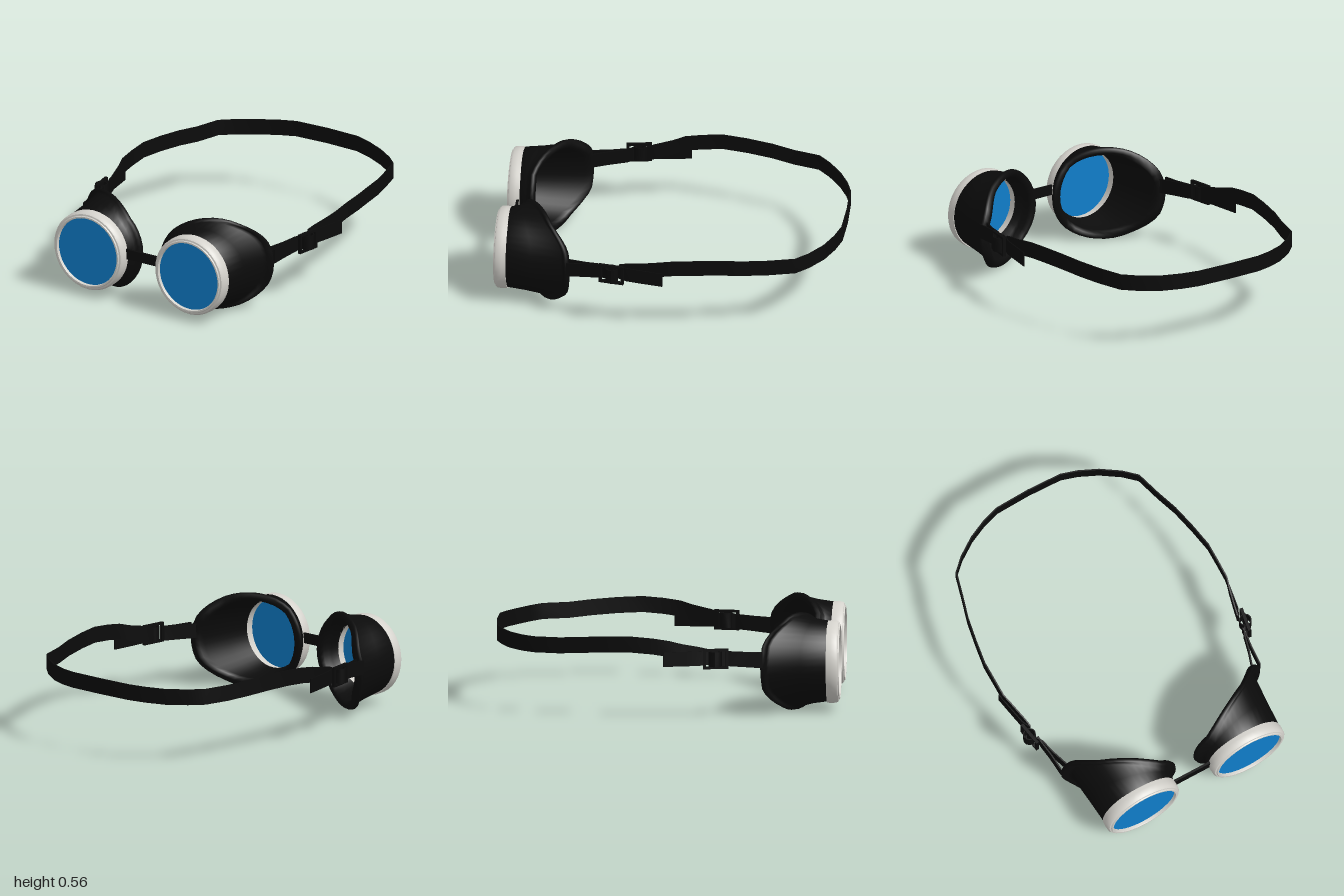
import * as THREE from 'three';
import { toCreasedNormals } from 'three/addons/utils/BufferGeometryUtils.js';

const black = new THREE.MeshStandardMaterial({ color: 0x0b0b0b, side: THREE.DoubleSide });
black.name = 'black rubber';
const silver = new THREE.MeshStandardMaterial({ color: 0xd4d2cc });
silver.name = 'silver rim';
const blue = new THREE.MeshStandardMaterial({ color: 0x0f7ecb, side: THREE.DoubleSide });
blue.name = 'blue lens';

const LENS_X = 0.348, LENS_Y = 0.277;

// Mirror a geometry across x = 0, keeping faces outward
function mirrored(geo) {
  const g = geo.index ? geo.toNonIndexed() : geo.clone();
  g.scale(-1, 1, 1);
  for (const name of ['position', 'normal']) {
    const a = g.attributes[name];
    for (let i = 0; i < a.count; i += 3) {
      const p = new THREE.Vector3().fromBufferAttribute(a, i + 1);
      const q = new THREE.Vector3().fromBufferAttribute(a, i + 2);
      a.setXYZ(i + 1, q.x, q.y, q.z);
      a.setXYZ(i + 2, p.x, p.y, p.z);
    }
  }
  return g;
}

// Skin a series of closed cross-section loops
function skin(rows) {
  const n = rows[0].length, idx = [];
  for (let i = 0; i < rows.length - 1; i++) {
    for (let j = 0; j < n; j++) {
      const a = i * n + j, b = i * n + (j + 1) % n;
      idx.push(a, a + n, b, b, a + n, b + n);
    }
  }
  const g = new THREE.BufferGeometry();
  g.setAttribute('position', new THREE.Float32BufferAttribute(rows.flat(2), 3));
  g.setIndex(idx);
  g.computeVertexNormals();
  return g;
}

// Depth of the face edge of the cup, from nose (c = -1) to temple (c = 1)
const EDGE = [[-1, 0.825], [-0.7, 0.825], [-0.5, 0.8], [-0.2, 0.755], [0.1, 0.71],
  [0.5, 0.65], [0.7, 0.6], [0.87, 0.555], [1, 0.545]];
function edgeZ(c) {
  let i = 1;
  while (i < EDGE.length - 1 && c > EDGE[i][0]) i++;
  const [c0, z0] = EDGE[i - 1], [c1, z1] = EDGE[i];
  return z0 + (z1 - z0) * (c - c0) / (c1 - c0);
}

// Hollow eye cup: outer wall, flared padded lip, inner wall
function cupGeometry() {
  // radius x, radius y, centre x, blend from front to edge, offset from edge
  const loops = [
    [0.200, 0.200, 0.348, 0, 0], [0.232, 0.232, 0.348, 0, 0], [0.242, 0.245, 0.348, 0.4, 0],
    [0.254, 0.264, 0.350, 1, 0.05], [0.270, 0.272, 0.354, 1, 0.035], [0.292, 0.279, 0.357, 1, 0.03],
    [0.298, 0.281, 0.358, 1, 0.015], [0.290, 0.274, 0.358, 1, 0.003], [0.262, 0.252, 0.355, 1, 0],
    [0.240, 0.235, 0.352, 1, 0.015], [0.235, 0.235, 0.350, 1, 0.05], [0.220, 0.220, 0.348, 0.4, 0],
    [0.200, 0.200, 0.348, 0, 0],
  ];
  const N = 40;
  return skin(loops.map(([rx, ry, cx, f, dz]) => Array.from({ length: N }, (_, j) => {
    const t = j / N * Math.PI * 2, c = Math.cos(t);
    return [cx + rx * c, 0.281 + ry * Math.sin(t), 0.925 * (1 - f) + (edgeZ(c) + dz) * f];
  })));
}

// Upright band with a thin rectangular section along points [x, y, z]
function band(points, height, thick = 0.008) {
  const rows = points.map(([x, y, z], i) => {
    const p = points[Math.max(i - 1, 0)], q = points[Math.min(i + 1, points.length - 1)];
    const dx = q[0] - p[0], dz = q[2] - p[2], len = Math.hypot(dx, dz);
    const nx = -dz / len * thick / 2, nz = dx / len * thick / 2, h = height / 2;
    return [[x + nx, y - h, z + nz], [x + nx, y + h, z + nz],
      [x - nx, y + h, z - nz], [x - nx, y - h, z - nz]];
  });
  // Both ends close onto the centre line
  const cap = i => Array(4).fill(points[i]);
  return toCreasedNormals(skin([cap(0), ...rows, cap(points.length - 1)]), 0.6);
}

// Two-slot buckle plate, standing along the strap
function buckleGeometry() {
  const rect = (path, x, y, w, h) => {
    path.moveTo(x, y);
    path.lineTo(x + w, y);
    path.lineTo(x + w, y + h);
    path.lineTo(x, y + h);
    path.closePath();
    return path;
  };
  const s = rect(new THREE.Shape(), -0.073, -0.058, 0.146, 0.116);
  s.holes.push(rect(new THREE.Path(), -0.058, -0.044, 0.045, 0.088));
  s.holes.push(rect(new THREE.Path(), 0.013, -0.044, 0.045, 0.088));
  const g = new THREE.ExtrudeGeometry(s, { depth: 0.018, bevelEnabled: false });
  g.translate(0, 0, -0.009);
  g.rotateY(Math.PI / 2 - 0.16);
  g.translate(0.712, 0.346, 0.293);
  return g;
}

export function createModel() {
  const model = new THREE.Group();
  model.name = 'goggles';
  const add = (name, geo, mat) => {
    const m = new THREE.Mesh(geo, mat);
    m.name = name;
    model.add(m);
  };
  const addPair = (name, geo, mat) => {
    add('left' + name, geo, mat);
    add('right' + name, mirrored(geo), mat);
  };

  // Eye cups
  addPair('EyeCup', cupGeometry(), black);

  // Metal rims with a stepped front
  const profile = [[0.205, 0.92], [0.236, 0.92], [0.238, 0.945], [0.236, 0.975], [0.228, 0.986],
    [0.219, 0.988], [0.215, 0.994], [0.206, 0.994], [0.204, 0.988], [0.204, 0.92]];
  const rim = new THREE.LatheGeometry(profile.map(p => new THREE.Vector2(...p)), 40);
  rim.rotateX(Math.PI / 2);
  rim.translate(LENS_X, LENS_Y, 0);
  addPair('Rim', toCreasedNormals(rim, 0.7), silver);

  // Lenses
  const lens = new THREE.CircleGeometry(0.206, 40);
  lens.translate(LENS_X, LENS_Y, 0.975);
  addPair('Lens', lens, blue);

  // Nose strap
  const nose = new THREE.BoxGeometry(0.26, 0.06, 0.014);
  nose.translate(0, 0.297, 0.93);
  add('noseStrap', nose, black);

  // Head strap, temple to temple around the back
  const half = [[0.685, 0.352, 0.25], [0.695, 0.365, 0.2], [0.718, 0.385, 0.1], [0.737, 0.405, 0.03],
    [0.738, 0.42, -0.07], [0.738, 0.43, -0.19], [0.715, 0.427, -0.33], [0.685, 0.418, -0.48],
    [0.645, 0.408, -0.61], [0.603, 0.407, -0.76], [0.53, 0.405, -0.83], [0.42, 0.404, -0.905],
    [0.31, 0.408, -0.955], [0.21, 0.412, -0.985]];
  const otherHalf = half.slice().reverse().map(([x, y, z]) => [-x, y, z]);
  add('headStrap', band([...half, [0, 0.413, -0.992], ...otherHalf], 0.092), black);

  // Short side straps folded through the cup lug
  addPair('SideStrapInner', band([[0.61, 0.328, 0.555], [0.645, 0.335, 0.45], [0.667, 0.342, 0.36],
    [0.69, 0.346, 0.325]], 0.085), black);
  addPair('SideStrapOuter', band([[0.657, 0.328, 0.56], [0.664, 0.335, 0.45], [0.676, 0.342, 0.36],
    [0.676, 0.346, 0.325]], 0.085), black);

  // Strap loop around the buckle bar and its loose tail
  const loop = Array.from({ length: 13 }, (_, i) => {
    const a = i / 12 * Math.PI * 2;
    return [0.712 + 0.034 * Math.cos(a), 0.346, 0.29 + 0.034 * Math.sin(a)];
  });
  addPair('StrapLoop', band(loop, 0.086, 0.006), black);
  addPair('StrapTail', band([[0.688, 0.35, 0.255], [0.711, 0.348, 0.205], [0.725, 0.346, 0.125],
    [0.747, 0.345, -0.007]], 0.084, 0.006), black);

  // Buckles
  addPair('Buckle', buckleGeometry(), black);

  return model;
}
